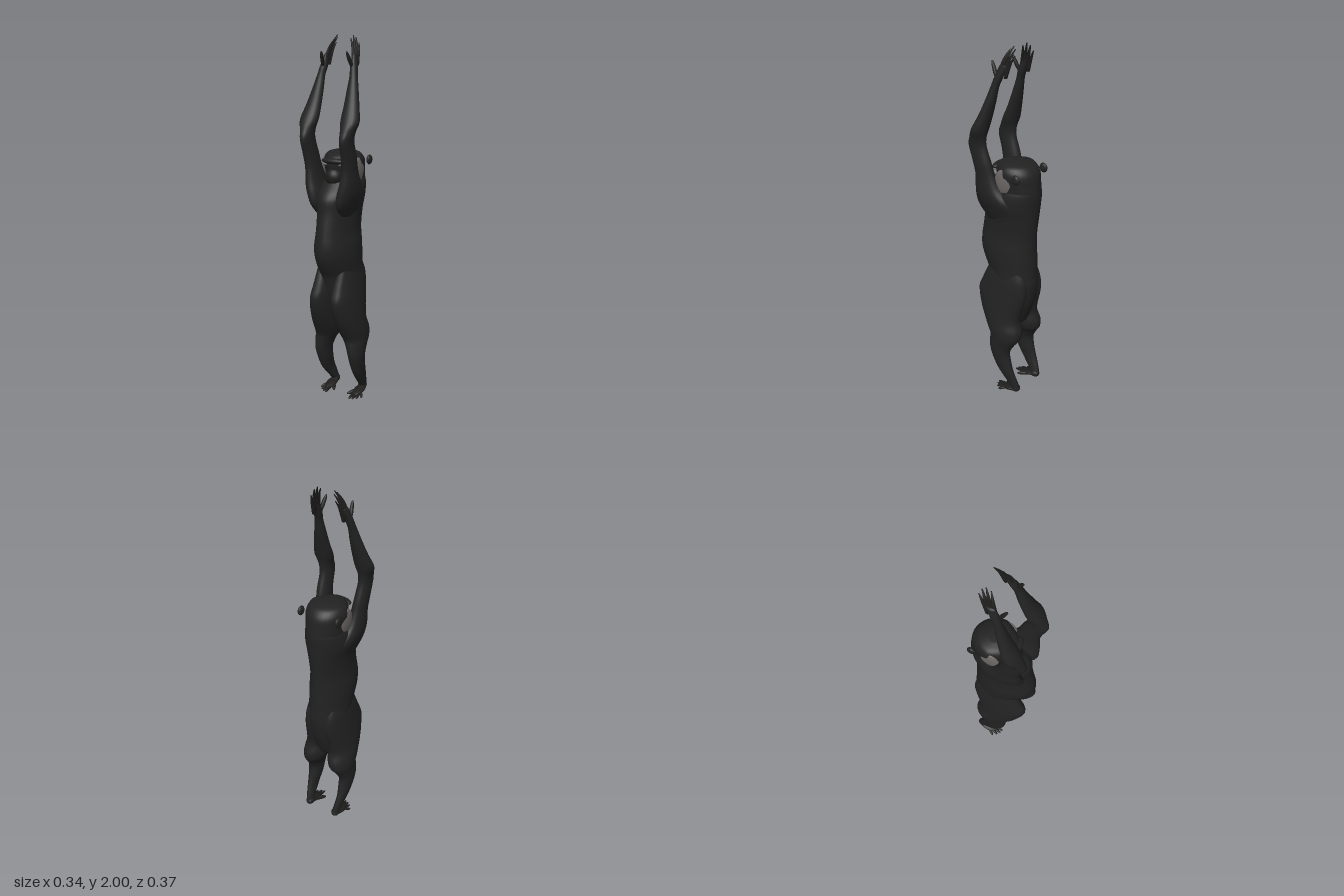
import * as THREE from 'three';

const material = (name, color) => Object.assign(new THREE.MeshStandardMaterial({ color }), { name });

// Closed skin through horizontal sections [y, xIn, xOut, zFront, zBack], listed upwards.
// egg narrows the front half of each ring.
function loft(sections, side = 1, egg = 0, seg = 20, sub = 4) {
  const mid = [], rad = [];
  for (const [y, xi, xo, zf, zb] of sections) {
    mid.push(new THREE.Vector3(side * (xi + xo) / 2, y, (zf + zb) / 2));
    rad.push(new THREE.Vector3((xo - xi) / 2, (zf - zb) / 2, 0));
  }
  const midCurve = new THREE.CatmullRomCurve3(mid, false, 'catmullrom', 0.5);
  const radCurve = new THREE.CatmullRomCurve3(rad, false, 'catmullrom', 0.5);
  const rings = (sections.length - 1) * sub;
  const pos = [], idx = [];
  for (let i = 0; i <= rings; i++) {
    const c = midCurve.getPoint(i / rings), r = radCurve.getPoint(i / rings);
    for (let j = 0; j < seg; j++) {
      const a = j / seg * Math.PI * 2, front = Math.max(0, -Math.sin(a));
      pos.push(c.x + r.x * Math.cos(a) * (1 - egg * front), c.y, c.z - r.y * Math.sin(a));
      const k = i * seg + j, n = i * seg + (j + 1) % seg;
      if (i < rings) idx.push(k, n, n + seg, k, n + seg, k + seg);
    }
  }
  const bottom = pos.length / 3, last = rings * seg;
  pos.push(...mid[0].toArray(), ...mid[mid.length - 1].toArray());
  for (let j = 0; j < seg; j++) {
    const n = (j + 1) % seg;
    idx.push(bottom, n, j, bottom + 1, last + j, last + n);
  }
  const g = new THREE.BufferGeometry();
  g.setAttribute('position', new THREE.Float32BufferAttribute(pos, 3));
  g.setIndex(idx);
  g.computeVertexNormals();
  return g;
}

export function createModel() {
  const model = new THREE.Group();
  model.name = 'ape';
  const fur = material('dark fur', 0x222222);
  const skin = material('dark skin', 0x1f1e1d);
  const grey = material('grey cheek fur', 0x6a6664);

  const add = (name, geometry, mat, parent = model) => {
    const m = new THREE.Mesh(geometry, mat);
    m.name = name;
    parent.add(m);
    return m;
  };
  const blob = (name, p, r, mat, parent) => {
    const m = add(name, new THREE.SphereGeometry(1, 20, 14), mat, parent);
    m.position.set(...p);
    m.scale.set(...r);
    return m;
  };
  // Rounded digit stretched between two points
  const digit = (name, a, b, r, mat, parent) => {
    const from = new THREE.Vector3(...a), to = new THREE.Vector3(...b);
    const d = to.clone().sub(from);
    const m = blob(name, from.clone().add(to).multiplyScalar(0.5).toArray(), [r, d.length() / 2, r], mat, parent);
    m.quaternion.setFromUnitVectors(new THREE.Vector3(0, 1, 0), d.normalize());
  };

  // Torso
  const torso = [
    [0.45, 0.05, 0.0, -0.10], [0.50, 0.09, 0.05, -0.12], [0.60, 0.11, 0.09, -0.155],
    [0.70, 0.113, 0.115, -0.17], [0.75, 0.112, 0.13, -0.168], [0.80, 0.112, 0.16, -0.165],
    [0.86, 0.114, 0.185, -0.163], [0.92, 0.112, 0.19, -0.16], [1.0, 0.103, 0.178, -0.16],
    [1.1, 0.108, 0.16, -0.17], [1.18, 0.122, 0.15, -0.176], [1.25, 0.112, 0.09, -0.18],
    [1.30, 0.085, 0.04, -0.172],
  ].map(([y, w, f, b]) => [y, -w, w, f, b]);
  add('torso', loft(torso, 1, 0.1, 32), fur);

  // Head, egg shaped from above with the narrow end forward
  const head = [
    [1.20, 0.085, 0.05, -0.16], [1.25, 0.103, 0.07, -0.178], [1.30, 0.107, 0.075, -0.174],
    [1.35, 0.112, 0.082, -0.167], [1.38, 0.105, 0.075, -0.15], [1.40, 0.085, 0.045, -0.125],
    [1.413, 0.04, 0.0, -0.08],
  ].map(([y, w, f, b]) => [y, -w, w, f, b]);
  add('head', loft(head, 1, 0.3, 32), fur);
  blob('muzzle', [0, 1.28, 0.052], [0.05, 0.05, 0.048], skin);
  blob('brow', [0, 1.365, 0.062], [0.07, 0.018, 0.03], fur);

  // Sections of one arm and one leg: y, inner x, outer x, front z, back z
  const armSections = [
    [1.08, 0.04, 0.10, 0.10, -0.08], [1.14, 0.035, 0.122, 0.148, -0.10], [1.20, 0.04, 0.142, 0.155, -0.085],
    [1.26, 0.06, 0.147, 0.148, -0.02], [1.33, 0.073, 0.145, 0.143, 0.018], [1.40, 0.08, 0.148, 0.156, 0.04],
    [1.48, 0.085, 0.148, 0.18, 0.068], [1.53, 0.082, 0.157, 0.166, 0.07], [1.58, 0.07, 0.172, 0.142, 0.057],
    [1.65, 0.07, 0.155, 0.104, 0.037], [1.73, 0.072, 0.135, 0.07, 0.016], [1.80, 0.075, 0.118, 0.043, 0.0],
    [1.84, 0.07, 0.11, 0.03, -0.016], [1.88, 0.07, 0.10, 0.014, -0.034], [1.91, 0.072, 0.092, 0.0, -0.045],
  ];
  const legSections = [
    [0.04, 0.07, 0.112, -0.085, -0.138], [0.08, 0.075, 0.118, -0.05, -0.128], [0.14, 0.077, 0.13, 0.0, -0.105],
    [0.20, 0.07, 0.14, 0.032, -0.085], [0.27, 0.064, 0.148, 0.056, -0.075], [0.33, 0.046, 0.151, 0.062, -0.105],
    [0.37, 0.022, 0.154, 0.064, -0.132], [0.42, 0.008, 0.154, 0.092, -0.137], [0.48, 0.004, 0.147, 0.125, -0.118],
    [0.55, 0.0, 0.139, 0.155, -0.13], [0.62, 0.0, 0.13, 0.17, -0.15], [0.68, 0.0, 0.122, 0.148, -0.158],
    [0.74, 0.01, 0.113, 0.12, -0.15], [0.80, 0.03, 0.10, 0.09, -0.12],
  ];
  // Finger base (y, z) and tip (x, y, z)
  const fingers = [
    [1.895, 0.002, 0.046, 1.985, -0.035], [1.90, -0.014, 0.047, 2.0, -0.058],
    [1.895, -0.028, 0.055, 1.99, -0.074], [1.88, -0.038, 0.068, 1.962, -0.083],
  ];

  for (const s of [1, -1]) {
    const label = s > 0 ? 'left' : 'right';

    // Face details
    blob(label + 'Cheek', [s * 0.099, 1.315, -0.03], [0.015, 0.066, 0.054], grey);
    blob(label + 'Ear', [s * 0.112, 1.355, -0.125], [0.013, 0.026, 0.024], fur);
    const eye = blob(label + 'Eye', [s * 0.05, 1.348, 0.068], [0.016, 0.005, 0.012], grey);
    eye.rotation.z = s * 0.25;

    // Raised arm and hand
    const arm = new THREE.Group();
    arm.name = label + 'Arm';
    model.add(arm);
    add('armFur', loft(armSections, s), fur, arm);
    for (const [y, z, tx, ty, tz] of fingers) {
      const mx = 0.45 * tx + 0.55 * 0.086, my = (y + ty) / 2, mz = (z + tz) / 2;
      add('finger', loft([
        [y - 0.03, 0.075, 0.094, z + 0.012, z - 0.008],
        [my, mx - 0.007, mx + 0.007, mz + 0.008, mz - 0.008],
        [ty, tx - 0.002, tx + 0.002, tz + 0.003, tz - 0.003],
      ], s, 0, 8), skin, arm);
    }
    digit('thumb', [s * 0.088, 1.83, 0.012], [s * 0.074, 1.922, 0.057], 0.01, skin, arm);

    // Leg and foot
    const leg = new THREE.Group();
    leg.name = label + 'Leg';
    model.add(leg);
    add('legFur', loft(legSections, s, 0, 24), fur, leg);
    blob('heel', [s * 0.09, 0.036, -0.11], [0.024, 0.024, 0.03], fur, leg);
    const sole = blob('sole', [s * 0.092, 0.023, -0.068], [0.03, 0.014, 0.062], skin, leg);
    sole.rotation.x = 0.18;
    for (let i = 0; i < 4; i++) {
      digit('toe', [s * (0.08 + i * 0.01), 0.02, -0.055],
        [s * (0.078 + i * 0.019), 0.005, 0.028 - i * i * 0.005], 0.0085, skin, leg);
    }
    digit('bigToe', [s * 0.088, 0.022, -0.085], [s * 0.044, 0.009, -0.012], 0.011, skin, leg);
  }
  return model;
}
